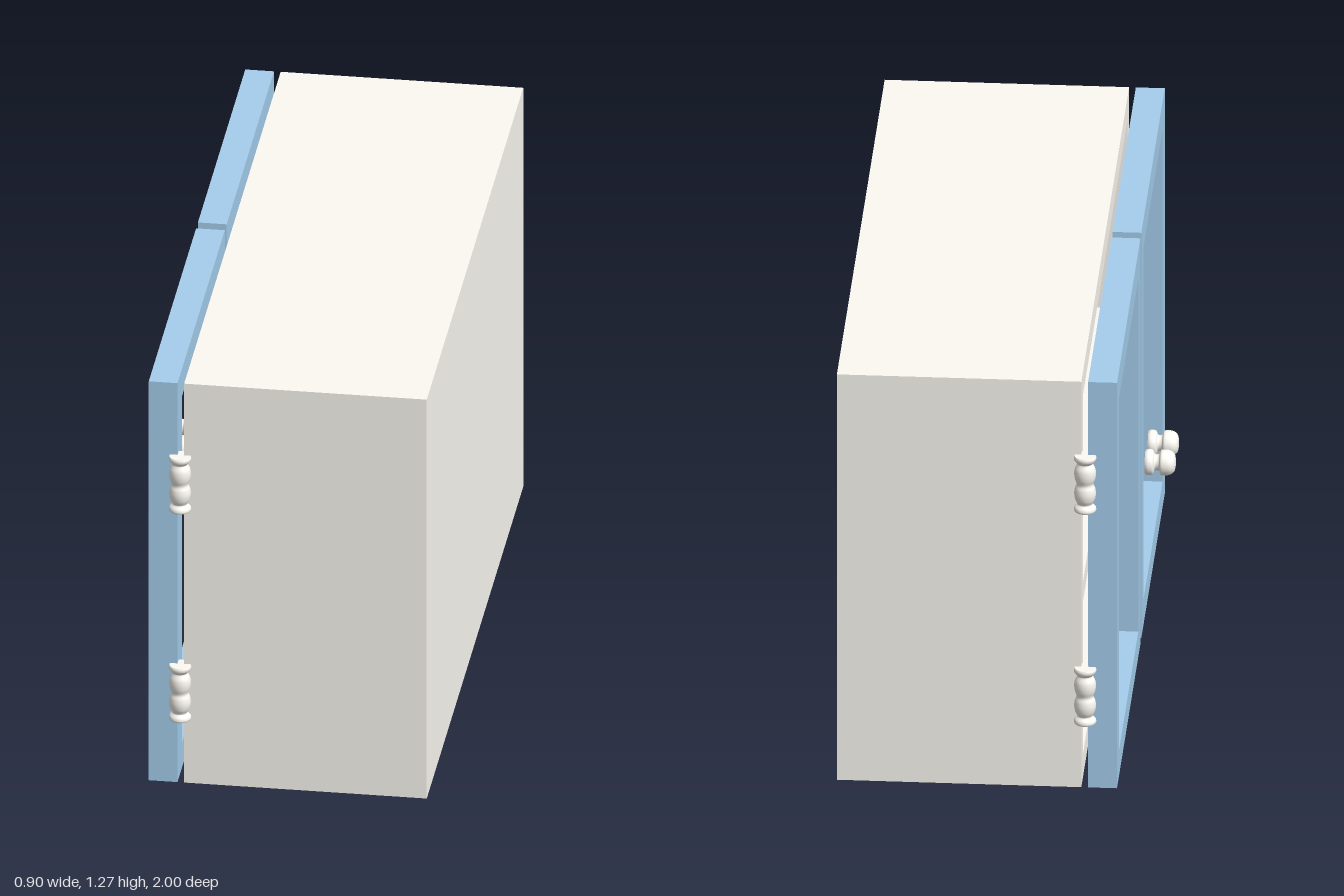
import * as THREE from 'three';

const cream = new THREE.MeshStandardMaterial({ color: 0xfdfaf3 });
const blue = new THREE.MeshStandardMaterial({ color: 0xa5ceed });

const H = 1.27, HALF = 0.963;       // cabinet height and half width (z)
const X0 = -0.245, X1 = 0.447;      // open side and back of the carcass
const T = 0.073, BACK = 0.135;      // panel and back thickness

function box(name, x0, x1, y0, y1, z0, z1) {
  const mesh = new THREE.Mesh(new THREE.BoxGeometry(x1 - x0, y1 - y0, z1 - z0), cream);
  mesh.position.set((x0 + x1) / 2, (y0 + y1) / 2, (z0 + z1) / 2);
  mesh.name = name;
  return mesh;
}

// Lathe through [radius, height] points; smooth curve between flat end caps
function turned(name, points) {
  const curve = new THREE.SplineCurve(points.map(([r, y]) => new THREE.Vector2(r, y)));
  const pts = curve.getPoints(points.length * 4);
  const first = pts[0], last = pts[pts.length - 1];
  const group = new THREE.Group();
  group.name = name;
  group.add(new THREE.Mesh(new THREE.LatheGeometry(pts, 24), cream));
  for (const [p, turn] of [[first, 1], [last, -1]]) {
    const cap = new THREE.Mesh(new THREE.CircleGeometry(p.x, 24), cream);
    cap.rotation.x = turn * Math.PI / 2;
    cap.position.y = p.y;
    group.add(cap);
  }
  return group;
}

// Rectangular door frame with an open window, extruded along x
function doorFrame() {
  const w = 0.945, f = 0.088, bottom = 0.08, depth = 0.082;
  const shape = new THREE.Shape();
  shape.moveTo(0, 0).lineTo(w, 0).lineTo(w, H).lineTo(0, H).closePath();
  const hole = new THREE.Path();
  hole.moveTo(f, bottom).lineTo(f, H - f).lineTo(w - f, H - f).lineTo(w - f, bottom).closePath();
  shape.holes.push(hole);
  const geo = new THREE.ExtrudeGeometry(shape, { depth, bevelEnabled: false });
  geo.translate(-w / 2, 0, -depth / 2);
  geo.rotateY(Math.PI / 2);
  return new THREE.Mesh(geo, blue);
}

export function createModel() {
  const model = new THREE.Group();
  model.name = 'wallCabinet';

  // Carcass, open towards -x
  const body = new THREE.Group();
  body.name = 'carcass';
  body.add(
    box('bottomPanel', X0, X1, 0, T, -HALF, HALF),
    box('topPanel', X0, X1, H - T, H, -HALF, HALF),
    box('backPanel', X1 - BACK, X1, T, H - T, -HALF, HALF),
    box('sidePanelLeft', X0, X1 - BACK, T, H - T, HALF - T, HALF),
    box('sidePanelRight', X0, X1 - BACK, T, H - T, -HALF, -HALF + T),
    box('shelf', X0, X1 - BACK, 0.55, 0.612, -HALF + T, HALF - T),
  );
  model.add(body);

  const hingeProfile = [
    [0.030, -0.086], [0.032, -0.081], [0.030, -0.073], [0.023, -0.066], [0.022, -0.062],
    [0.028, -0.05], [0.031, -0.033], [0.029, -0.016], [0.024, -0.002], [0.029, 0.014],
    [0.031, 0.03], [0.029, 0.046], [0.022, 0.06], [0.023, 0.064], [0.030, 0.072],
    [0.032, 0.08], [0.030, 0.086],
  ];
  const knobProfile = [
    [0.034, 0], [0.037, 0.006], [0.037, 0.014], [0.034, 0.022], [0.024, 0.027], [0.023, 0.035],
    [0.026, 0.041], [0.035, 0.044], [0.037, 0.054], [0.035, 0.07], [0.026, 0.082], [0.012, 0.086],
  ];

  for (const side of [1, -1]) {
    const label = side > 0 ? 'Left' : 'Right';

    // Door
    const door = doorFrame();
    door.name = 'doorFrame' + label;
    door.position.set(-0.305, 0, side * 0.4905);
    model.add(door);

    // Knob standing just off the door, pointing to -x
    const knob = turned('knob' + label, knobProfile);
    knob.rotation.z = Math.PI / 2;
    knob.position.set(-0.363, 0.592, side * 0.063);
    model.add(knob);

    // Turned hinges on the outer edge
    for (const [name, y] of [['upperHinge', 0.956], ['lowerHinge', 0.292]]) {
      const hinge = turned(name + label, hingeProfile);
      hinge.position.set(-0.256, y, side * 0.968);
      model.add(hinge);
    }
  }
  return model;
}
